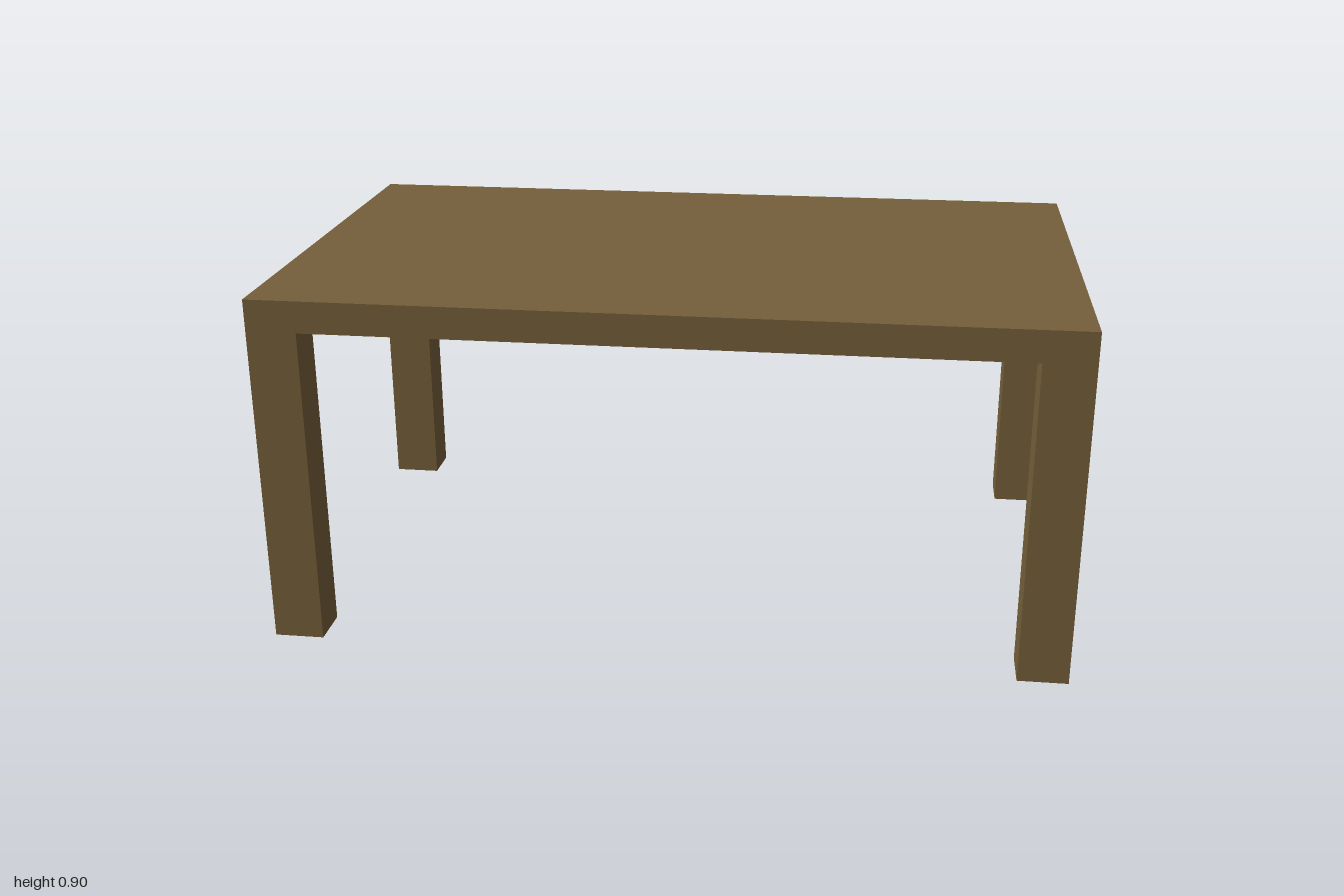
import * as THREE from 'three';

const WIDTH = 2, DEPTH = 1.2, HEIGHT = 0.9;
const TOP_THICKNESS = 0.08;
const LEG_X = 0.125, LEG_Z = 0.11;

export function createModel() {
  const table = new THREE.Group();
  table.name = 'table';
  const wood = new THREE.MeshStandardMaterial({ color: 0x755f3a });
  wood.name = 'brown wood';

  const addBox = (name, w, h, d, x, y, z) => {
    const mesh = new THREE.Mesh(new THREE.BoxGeometry(w, h, d), wood);
    mesh.name = name;
    mesh.position.set(x, y, z);
    table.add(mesh);
  };

  // Table top
  addBox('tableTop', WIDTH, TOP_THICKNESS, DEPTH, 0, HEIGHT - TOP_THICKNESS / 2, 0);

  // Four corner legs, flush with the edges of the top
  const legHeight = HEIGHT - TOP_THICKNESS;
  for (const [zName, sz] of [['front', 1], ['back', -1]]) {
    for (const [xName, sx] of [['Left', 1], ['Right', -1]]) {
      addBox(`${zName}${xName}Leg`, LEG_X, legHeight, LEG_Z,
        sx * (WIDTH - LEG_X) / 2, legHeight / 2, sz * (DEPTH - LEG_Z) / 2);
    }
  }
  return table;
}
